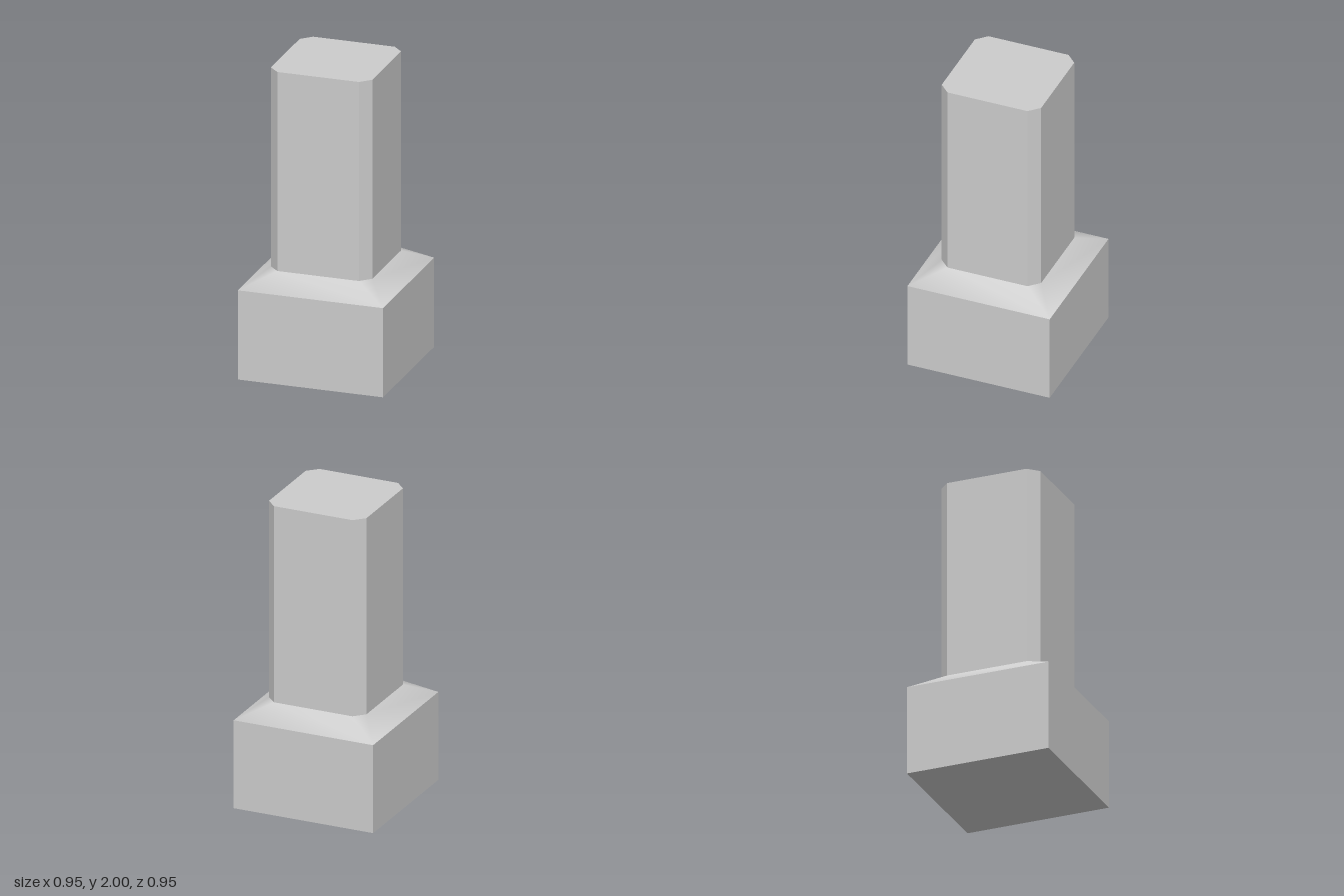
import * as THREE from 'three';

const BASE_HALF = 0.475, BASE_TOP = 0.587;
const SHAFT_HALF = 0.332, SHAFT_FLAT = 0.267, SHAFT_BOTTOM = 0.69, TOP = 2;

// Repeats a point at the four quarter turns about y
const quarterTurn = (x, z, k) => {
  for (let i = 0; i < k; i++) [x, z] = [-z, x];
  return [x, z];
};

// Sloped collar from the square base to the chamfered shaft, smooth across its corners
function collarGeometry() {
  const positions = [], index = [];
  for (let k = 0; k < 4; k++) {
    const [cx, cz] = quarterTurn(BASE_HALF, BASE_HALF, k);
    const [ax, az] = quarterTurn(SHAFT_HALF, SHAFT_FLAT, k);
    const [bx, bz] = quarterTurn(SHAFT_FLAT, SHAFT_HALF, k);
    positions.push(cx, BASE_TOP, cz, ax, SHAFT_BOTTOM, az, bx, SHAFT_BOTTOM, bz);
    const c = 3 * k, a = c + 1, b = c + 2;
    const nextC = (c + 3) % 12, nextA = nextC + 1;
    index.push(c, a, b, c, b, nextA, c, nextA, nextC);
  }
  const geometry = new THREE.BufferGeometry();
  geometry.setAttribute('position', new THREE.Float32BufferAttribute(positions, 3));
  geometry.setIndex(index);
  geometry.computeVertexNormals();
  return geometry;
}

// Square shaft with chamfered vertical edges
function shaftGeometry() {
  const outline = [];
  for (let k = 0; k < 4; k++) {
    outline.push(new THREE.Vector2(...quarterTurn(SHAFT_HALF, SHAFT_FLAT, k)));
    outline.push(new THREE.Vector2(...quarterTurn(SHAFT_FLAT, SHAFT_HALF, k)));
  }
  const geometry = new THREE.ExtrudeGeometry(new THREE.Shape(outline), {
    depth: TOP - SHAFT_BOTTOM, bevelEnabled: false,
  });
  return geometry.rotateX(-Math.PI / 2).translate(0, SHAFT_BOTTOM, 0);
}

export function createModel() {
  const group = new THREE.Group();
  group.name = 'post';
  const material = new THREE.MeshStandardMaterial({ color: 0xcccccc });
  const add = (name, geometry) => {
    const mesh = new THREE.Mesh(geometry, material);
    mesh.name = name;
    group.add(mesh);
  };

  add('base', new THREE.BoxGeometry(2 * BASE_HALF, BASE_TOP, 2 * BASE_HALF).translate(0, BASE_TOP / 2, 0));
  add('collar', collarGeometry());
  add('shaft', shaftGeometry());
  return group;
}
